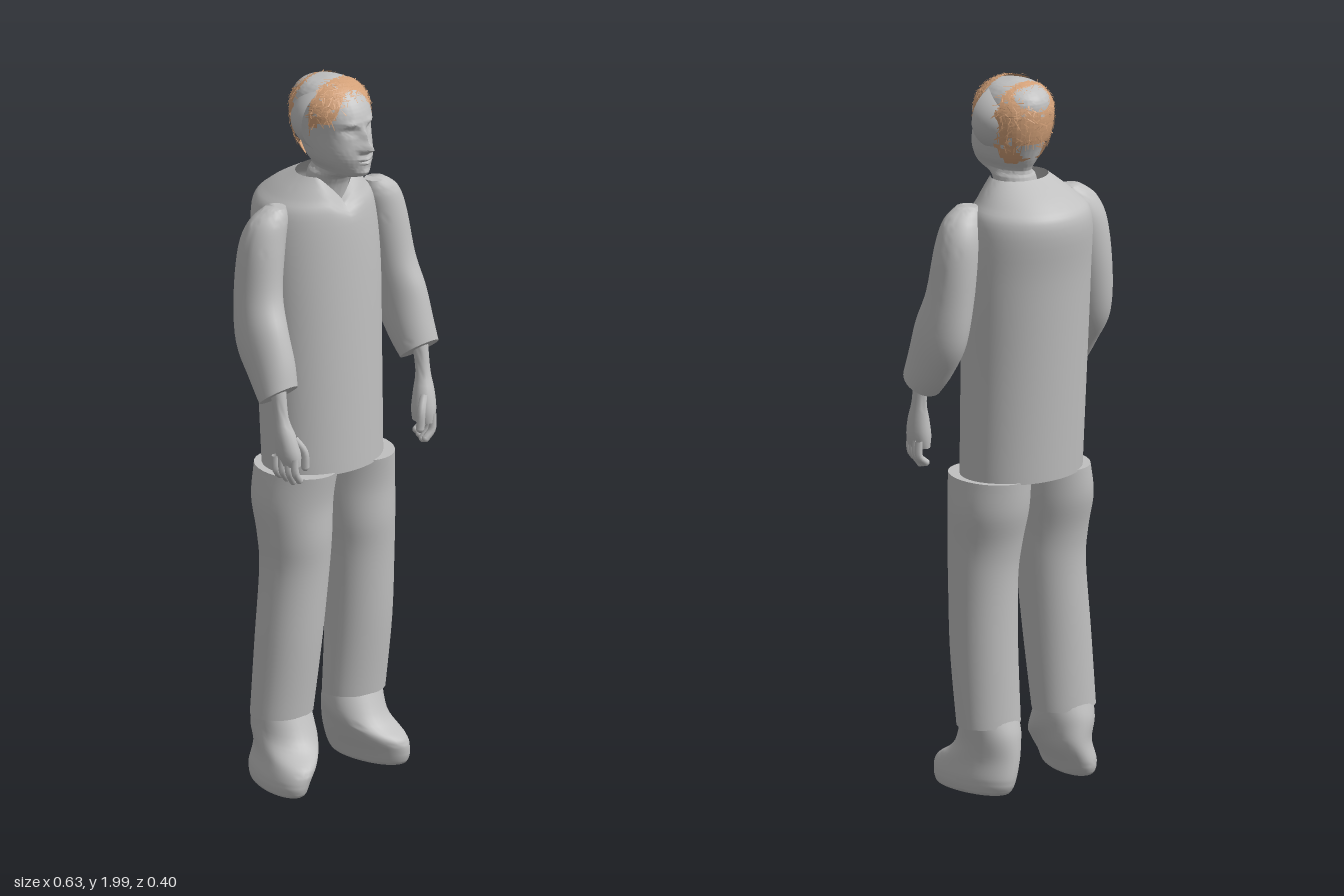
import * as THREE from 'three';
import { toCreasedNormals } from 'three/addons/utils/BufferGeometryUtils.js';

const grey = new THREE.MeshStandardMaterial({ color: 0xc0c0c0, side: THREE.DoubleSide });
grey.name = 'plain grey';
const tan = new THREE.MeshStandardMaterial({ color: 0xd2a078, side: THREE.DoubleSide });
tan.name = 'tan hair';

const spline = (a, b, c, d, t) =>
  0.5 * (2 * b + (c - a) * t + (2 * a - 5 * b + 4 * c - d) * t * t + (3 * b - a - 3 * c + d) * t * t * t);

// Smooth body through oval sections, listed from top to bottom:
// [y, centre x, centre z, radius x, radius z, forward tilt, sideways shear]
function loft(sections, { sides = 32, steps = 5, deform, capTop = true, capBottom = true } = {}) {
  const rows = [];
  const at = i => sections[Math.max(0, Math.min(sections.length - 1, i))];
  for (let i = 0; i < sections.length - 1; i++)
    for (let k = 0; k < steps; k++)
      rows.push([0, 1, 2, 3, 4, 5, 6].map(m =>
        spline(at(i - 1)[m] || 0, at(i)[m] || 0, at(i + 1)[m] || 0, at(i + 2)[m] || 0, k / steps)));
  rows.push([0, 1, 2, 3, 4, 5, 6].map(m => at(sections.length)[m] || 0));
  const pos = [], index = [], v = new THREE.Vector3();
  const put = (x, y, z) => {
    v.set(x, y, z);
    if (deform) deform(v);
    pos.push(v.x, v.y, v.z);
  };
  for (const [y, cx, cz, rx, rz, tilt, shear] of rows)
    for (let j = 0; j < sides; j++) {
      const a = (j / sides) * Math.PI * 2, dz = rz * Math.cos(a);
      put(cx + rx * Math.sin(a) + shear * dz, y + tilt * dz, cz + dz);
    }
  for (let i = 0; i < rows.length - 1; i++)
    for (let j = 0; j < sides; j++) {
      const a = i * sides + j, b = i * sides + (j + 1) % sides;
      index.push(a, a + sides, b + sides, a, b + sides, b);
    }
  const cap = (row, top) => {
    const c = pos.length / 3, r = rows[row];
    put(r[1], r[0], r[2]);
    for (let j = 0; j < sides; j++) {
      const a = row * sides + j, b = row * sides + (j + 1) % sides;
      index.push(c, top ? a : b, top ? b : a);
    }
  };
  if (capTop) cap(0, true);
  if (capBottom) cap(rows.length - 1, false);
  const g = new THREE.BufferGeometry();
  g.setAttribute('position', new THREE.Float32BufferAttribute(pos, 3));
  g.setIndex(index);
  return toCreasedNormals(g, 0.9);
}

function add(parent, name, geometry, material = grey) {
  const mesh = new THREE.Mesh(geometry, material);
  mesh.name = name;
  parent.add(mesh);
  return mesh;
}

// Finger: a bent tube with a rounded tip
function finger(parent, name, points, r) {
  const p = points.map(q => new THREE.Vector3(...q));
  add(parent, name, new THREE.TubeGeometry(new THREE.CatmullRomCurve3(p), 8, r, 8));
  add(parent, name + 'Tip', new THREE.SphereGeometry(r, 8, 6)).position.copy(p[p.length - 1]);
}

function buildArm(s) {
  const arm = new THREE.Group();
  arm.name = s > 0 ? 'leftArm' : 'rightArm';
  const back = s > 0 ? 0 : -0.02; // the right arm hangs slightly further back
  add(arm, 'sleeve', loft([
    [1.655, s * 0.175, 0.025 + back, 0.03, 0.028],
    [1.62, s * 0.195, 0.02 + back, 0.055, 0.05],
    [1.55, s * 0.215, 0.015 + back, 0.063, 0.065],
    [1.42, s * 0.235, 0.022 + back, 0.062, 0.072, 0.1],
    [1.31, s * 0.25, 0.043 + back / 2, 0.063, 0.079, 0.4],
    [1.22, s * 0.255, 0.08, 0.061, 0.062, 0.6],
    [1.16, s * 0.26, 0.11, 0.057, 0.046, 0.75],
  ]));
  add(arm, 'palm', loft([
    [1.18, s * 0.262, 0.11, 0.022, 0.022],
    [1.1, s * 0.262, 0.122, 0.02, 0.021],
    [1.05, s * 0.256, 0.132, 0.028, 0.03],
    [1.0, s * 0.25, 0.138, 0.031, 0.038],
    [0.965, s * 0.246, 0.14, 0.024, 0.036],
  ], { sides: 16, steps: 3 }));
  for (let i = 0; i < 4; i++) {
    const z = 0.168 - i * 0.019, x = 0.255 + i * 0.006;
    finger(arm, 'finger', [[s * x, 0.99, z], [s * (x - 0.003), 0.945, z + 0.001],
      [s * (x - 0.022), 0.915 + Math.abs(i - 1) * 0.006, z - 0.004]], 0.0105);
  }
  finger(arm, 'thumb', [[s * 0.24, 1.04, 0.15], [s * 0.217, 1.0, 0.165], [s * 0.212, 0.955, 0.165]], 0.0115);
  return arm;
}

function buildLeg(s) {
  const leg = new THREE.Group();
  leg.name = s > 0 ? 'leftLeg' : 'rightLeg';
  // Centre line: the right leg splays outwards more than the left
  const cx = s > 0 ? [0.107, 0.113, 0.115, 0.12, 0.12, 0.113] : [-0.103, -0.115, -0.118, -0.12, -0.138, -0.153];
  add(leg, 'trouserLeg', loft([
    [0.89, cx[0], 0.01, 0.101, 0.128],
    [0.8, cx[1], 0.008, 0.106, 0.118],
    [0.7, cx[2], 0.02, 0.1, 0.105],
    [0.6, cx[3], 0.022, 0.096, 0.095],
    [0.4, cx[4], 0.018, 0.096, 0.088],
    [0.19, cx[5], 0.007, 0.094, 0.077],
  ]));
  const foot = s > 0 ? [0.113, 0.105, 0.115, 0.127, 0.13] : [-0.153, -0.155, -0.175, -0.198, -0.205];
  const turn = s > 0 ? 0.1 : -0.25;
  add(leg, 'shoe', loft([
    [0.215, foot[0], 0.003, 0.083, 0.07],
    [0.145, foot[1], 0.018, 0.082, 0.1, -0.2],
    [0.09, foot[2], 0.045, 0.076, 0.133, -0.1, turn],
    [0.04, foot[3], 0.048, 0.069, 0.137, 0, turn],
    [0.008, foot[4], 0.05, 0.061, 0.126, 0, turn],
    [0, foot[4], 0.05, 0.052, 0.112, 0, turn],
  ]));
  return leg;
}

// Shirt with a V-shaped notch at the front of the collar
function buildShirt() {
  return loft([
    [1.72, 0.01, 0, 0.085, 0.07],
    [1.665, 0.01, -0.035, 0.14, 0.128],
    [1.61, 0.01, -0.045, 0.176, 0.155],
    [1.45, 0.01, -0.03, 0.19, 0.152],
    [1.2, 0.006, -0.015, 0.188, 0.147],
    [0.885, 0.004, 0, 0.184, 0.14],
  ], { sides: 48, capTop: false, deform: v => {
    if (v.y > 1.6 && v.z > 0)
      v.y -= (v.y - 1.6) / 0.12 * 0.07 * Math.max(0, 1 - Math.abs(v.x - 0.01) / 0.065);
  } });
}

// Facial relief: [x from centre, y, width, height, depth]
const relief = [
  [0, 1.822, 0.013, 0.013, 0.034], [0, 1.85, 0.01, 0.022, 0.016],
  [0.016, 1.817, 0.008, 0.008, 0.01], [-0.016, 1.817, 0.008, 0.008, 0.01],
  [0.035, 1.868, 0.017, 0.01, -0.013], [-0.035, 1.868, 0.017, 0.01, -0.013],
  [0.035, 1.868, 0.008, 0.005, 0.006], [-0.035, 1.868, 0.008, 0.005, 0.006],
  [0.033, 1.888, 0.02, 0.007, 0.006], [-0.033, 1.888, 0.02, 0.007, 0.006],
  [0, 1.79, 0.022, 0.005, 0.008], [0, 1.777, 0.02, 0.005, 0.007],
  [0, 1.7835, 0.025, 0.002, -0.004], [0, 1.748, 0.018, 0.012, 0.006],
];
function buildHead() {
  return loft([
    [1.64, 0.012, 0.0, 0.058, 0.06],
    [1.715, 0.014, 0.018, 0.056, 0.066],
    [1.738, 0.015, 0.055, 0.05, 0.097],
    [1.77, 0.015, 0.052, 0.069, 0.11],
    [1.8, 0.015, 0.046, 0.078, 0.117],
    [1.85, 0.015, 0.03, 0.086, 0.122],
    [1.9, 0.015, 0.026, 0.092, 0.122],
    [1.945, 0.015, 0.016, 0.084, 0.108],
    [1.975, 0.015, 0.014, 0.056, 0.072],
    [1.986, 0.015, 0.014, 0.012, 0.015],
  ].reverse(), { sides: 80, steps: 9, deform: v => {
    if (v.z < 0.06) return;
    const { x, y } = v;
    for (const [dx, cy, w, h, d] of relief)
      v.z += d * Math.exp(-(((x - 0.015 - dx) / w) ** 2) - ((y - cy) / h) ** 2);
  } });
}

// Hair: a ragged cap in front and behind, overlaid with loose flat strands
function buildHair() {
  let seed = 7;
  const rnd = () => (seed = (seed * 16807) % 2147483647) / 2147483647;
  const pos = [];
  const point = (u, w, k = 1) => { // u runs round the head, w down from the crown
    const c = Math.cos(w);
    return new THREE.Vector3(0.015 + 0.106 * k * Math.sin(w) * Math.sin(u),
      1.902 + c * k * (c > 0 ? 0.092 : 0.17), 0.018 + 0.116 * k * Math.sin(w) * Math.cos(u));
  };
  const grows = p => (p.z > 0.045 && p.y > 1.93 - 0.5 * Math.abs(p.x - 0.015))
    || (p.z < -0.025 && p.y > 1.82) || (p.z < -0.01 && p.z > -0.06 && p.y > 1.765 && p.y < 1.82);
  const quad = (a, b, c, d) => { for (const p of [a, b, c, a, c, d]) pos.push(p.x, p.y, p.z); };
  const n = 56, m = 40, du = Math.PI * 2 / n, dw = Math.PI / m;
  for (let i = 0; i < n; i++)
    for (let j = 0; j < m; j++) {
      const u = i * du, w = j * dw;
      if (grows(point(u + du / 2, w + dw / 2)) && rnd() > 0.03)
        quad(point(u, w), point(u, w + dw), point(u + du, w + dw), point(u + du, w));
    }
  for (let i = 0; i < 1400; i++) {
    const u = rnd() * Math.PI * 2, w = 0.1 + rnd() * 2;
    const p = point(u, w, 1.0 + rnd() * 0.015);
    if (!grows(p)) continue;
    const turn = rnd() * Math.PI, len = 0.1 + rnd() * 0.14, wide = 0.02;
    const s = Math.max(0.3, Math.sin(w));
    const q = point(u + Math.cos(turn) * len / s, w + Math.sin(turn) * len, 1.005 + rnd() * 0.045);
    const r = point(u - Math.sin(turn) * wide / s, w + Math.cos(turn) * wide, 1.01);
    quad(p, r, q.clone().add(r).sub(p), q);
  }
  const g = new THREE.BufferGeometry();
  g.setAttribute('position', new THREE.Float32BufferAttribute(pos.map((c, i) => i % 3 === 1 ? Math.min(c, 2) : c), 3));
  g.computeVertexNormals();
  return g;
}

export function createModel() {
  const model = new THREE.Group();
  model.name = 'standingMan';
  add(model, 'shirt', buildShirt());
  for (const s of [1, -1]) model.add(buildArm(s), buildLeg(s));
  const head = new THREE.Group();
  head.name = 'head';
  add(head, 'face', buildHead());
  // Rear half shell around the skull, wider than the face
  const shell = add(head, 'skullShell', new THREE.SphereGeometry(1, 32, 24, Math.PI, Math.PI));
  shell.rotation.y = Math.PI;
  shell.geometry.rotateY(Math.PI);
  shell.geometry.rotateY(Math.PI);
  shell.geometry.computeBoundingBox();
  // Turn the half so that it faces backwards
  if (shell.geometry.boundingBox.min.z < -0.5) shell.rotation.y = 0;
  shell.scale.set(0.128, 0.098, 0.118);
  shell.position.set(0.013, 1.882, 0.045);
  add(head, 'hair', buildHair(), tan);
  model.add(head);
  return model;
}
